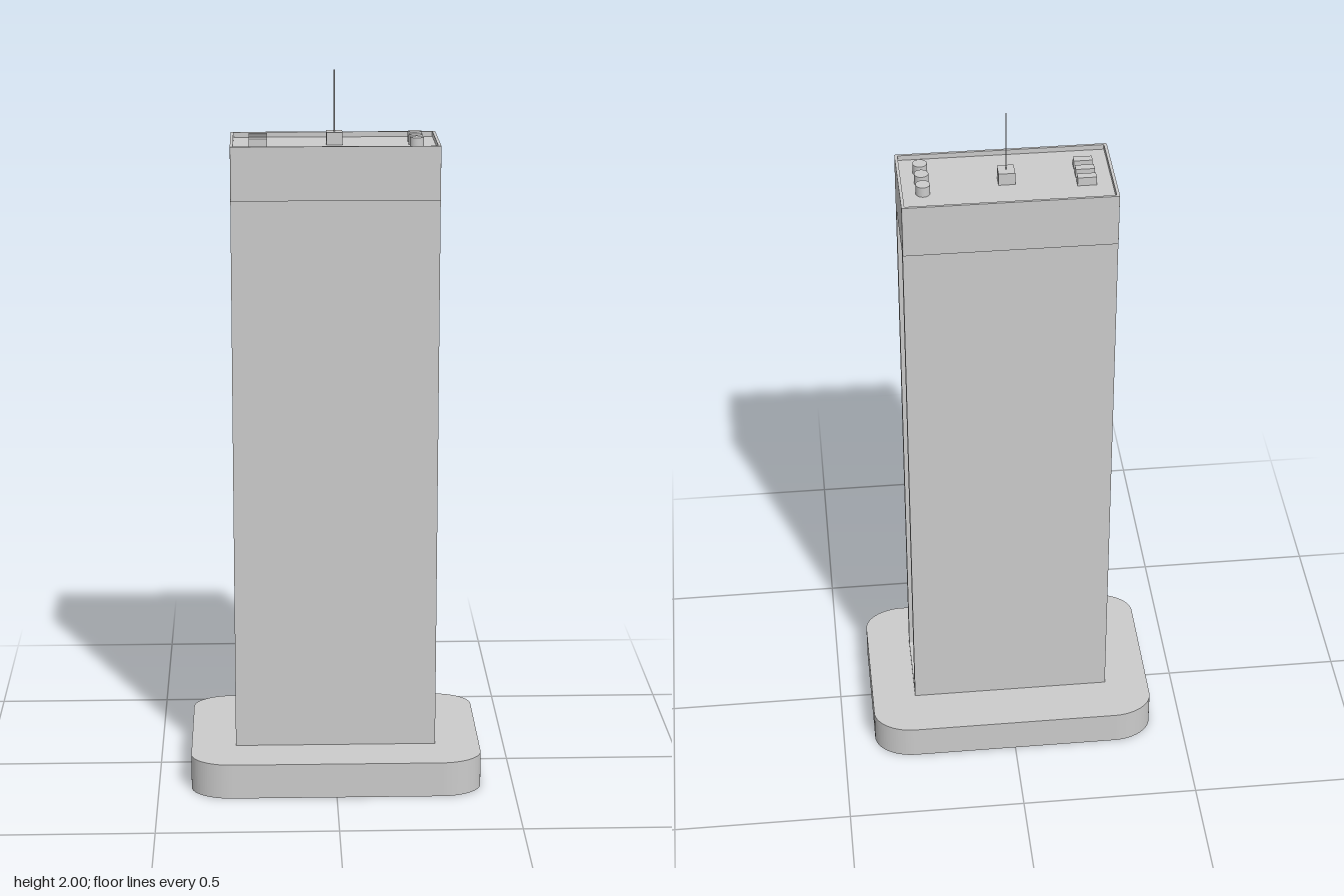
import * as THREE from 'three';

const material = new THREE.MeshStandardMaterial({ color: 0xcccccc });

// Rectangle with elliptical corners, drawn on a Shape or a hole Path
function roundedRect(path, hw, hh, rx, ry = rx) {
  path.moveTo(hw, -hh + ry);
  path.lineTo(hw, hh - ry);
  path.absellipse(hw - rx, hh - ry, rx, ry, 0, Math.PI / 2);
  path.lineTo(-hw + rx, hh);
  path.absellipse(-hw + rx, hh - ry, rx, ry, Math.PI / 2, Math.PI);
  path.lineTo(-hw, -hh + ry);
  path.absellipse(-hw + rx, -hh + ry, rx, ry, Math.PI, Math.PI * 1.5);
  path.lineTo(hw - rx, -hh);
  path.absellipse(hw - rx, -hh + ry, rx, ry, Math.PI * 1.5, Math.PI * 2);
  return path;
}

export function createModel() {
  const group = new THREE.Group();

  function add(name, geometry, x, y, z) {
    const mesh = new THREE.Mesh(geometry, material);
    mesh.name = name;
    mesh.position.set(x, y, z);
    group.add(mesh);
    return mesh;
  }
  function extrude(shape, depth) {
    return new THREE.ExtrudeGeometry(shape, { depth, bevelEnabled: false, curveSegments: 12 });
  }
  const box = (w, h, d) => new THREE.BoxGeometry(w, h, d);

  // Plinth with elliptical corners
  const plinth = roundedRect(new THREE.Shape(), 0.408, 0.27, 0.115, 0.085);
  add('plinth', extrude(plinth, 0.1).rotateX(-Math.PI / 2), 0, 0, 0);

  // Tower core; its ends are the floors of the recessed side panels
  const bottom = 0.1, crownBottom = 1.665, roof = 1.798, top = 1.812;
  const midY = (bottom + crownBottom) / 2, shaftH = crownBottom - bottom;
  const halfW = 0.283, recess = 0.012;
  add('towerShaft', box(2 * (halfW - recess), shaftH, 0.25), 0, midY, 0);

  // Raised frame around the panel on each narrow side
  for (const side of [-1, 1]) {
    const shape = new THREE.Shape();
    const w = 0.125, h = shaftH / 2;
    shape.moveTo(-w, -h).lineTo(w, -h).lineTo(w, h).lineTo(-w, h).closePath();
    shape.holes.push(roundedRect(new THREE.Path(), 0.1, h - 0.005, 0.006));
    const frame = add(side > 0 ? 'leftSideFrame' : 'rightSideFrame',
      extrude(shape, recess), side * (halfW - recess), midY, 0);
    frame.rotation.y = side * Math.PI / 2;
  }

  // Crown block with a low parapet round the roof
  const crown = roundedRect(new THREE.Shape(), halfW, 0.132, 0.004);
  add('crown', extrude(crown, roof - crownBottom).rotateX(-Math.PI / 2), 0, crownBottom, 0);
  const parapet = roundedRect(new THREE.Shape(), halfW, 0.132, 0.004);
  parapet.holes.push(roundedRect(new THREE.Path(), halfW - 0.008, 0.125, 0.002));
  add('parapet', extrude(parapet, top - roof).rotateX(-Math.PI / 2), 0, roof, 0);

  // Rooftop units: three boxes on one side, three round vents on the other
  for (const z of [-0.038, 0.004, 0.046]) {
    add('roofUnit', box(0.05, 0.024, 0.022), -0.208, roof + 0.012, z);
  }
  for (const z of [-0.043, 0.009, 0.06]) {
    add('roofVent', new THREE.CylinderGeometry(0.019, 0.019, 0.028, 32), 0.221, roof + 0.014, z);
  }

  // Mast on its block
  add('mastBlock', box(0.044, 0.034, 0.044), 0, roof + 0.017, -0.003);
  add('mast', new THREE.CylinderGeometry(0.0015, 0.0015, 0.17, 12), 0, 1.915, -0.003);

  return group;
}
